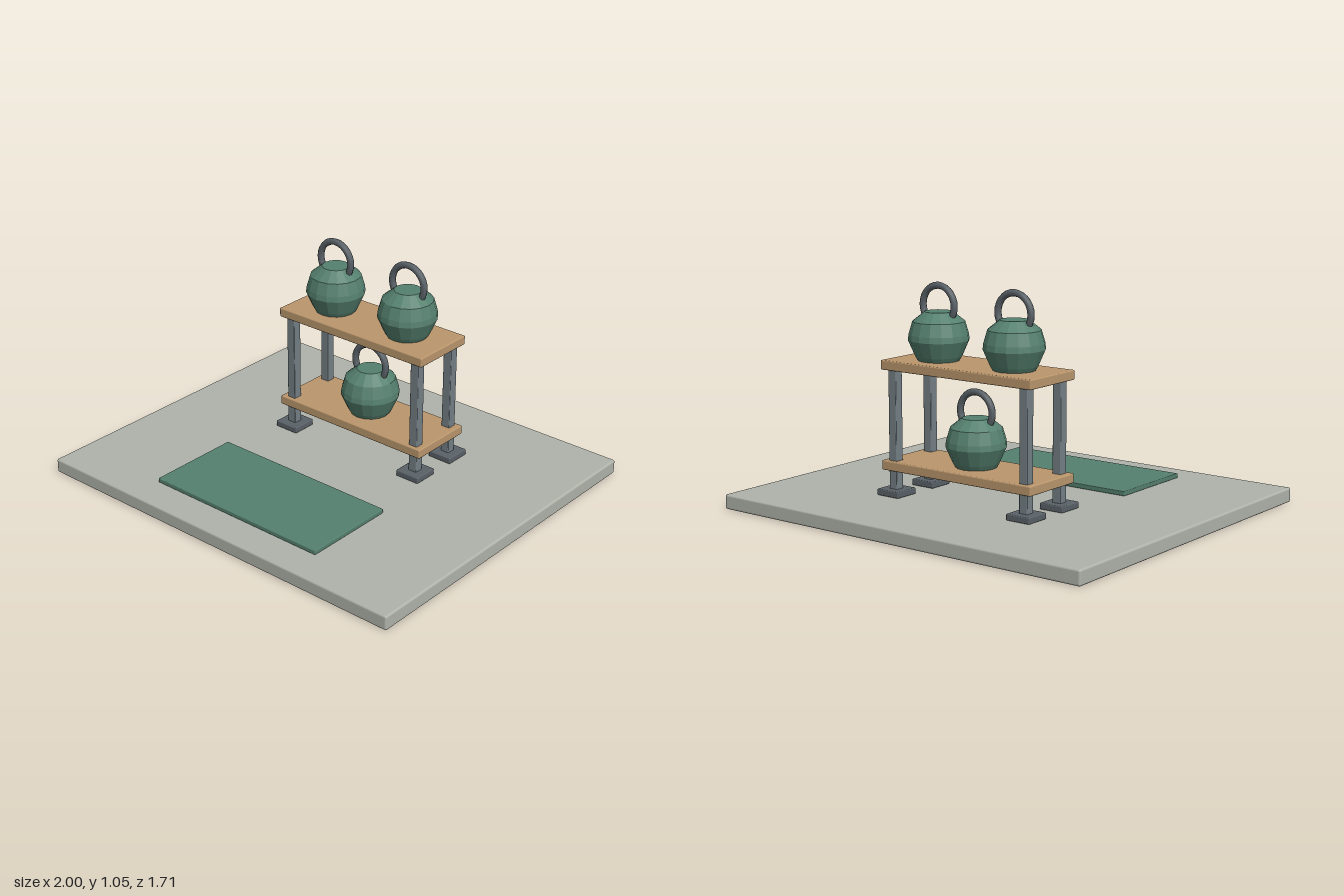
import * as THREE from 'three';
import { RoundedBoxGeometry } from 'three/addons/geometries/RoundedBoxGeometry.js';

const mat = (color, flatShading = false) => new THREE.MeshStandardMaterial({ color, flatShading });
const stone = mat(0xb0b3aa);
const wood = mat(0xba966c);
const steel = mat(0x737f85);
const darkSteel = mat(0x596167);
const green = mat(0x55806f);
const greenFaceted = mat(0x55806f, true);

// Box with softened edges, placed by its centre in x and z and its bottom in y
function slab(name, w, h, d, x, y, z, material, bevel = 0.006) {
  const mesh = new THREE.Mesh(new RoundedBoxGeometry(w, h, d, 2, bevel), material);
  mesh.name = name;
  mesh.position.set(x, y + h / 2, z);
  return mesh;
}

// Faceted round weight with a ring handle, standing on y = 0
function createKettlebell() {
  const bell = new THREE.Group();
  bell.name = 'kettlebell';
  const profile = [
    [0, 0], [0.095, 0], [0.108, 0.022], [0.14, 0.095],
    [0.137, 0.122], [0.12, 0.18], [0.065, 0.224], [0, 0.224],
  ].map(([r, y]) => new THREE.Vector2(r, y));
  const body = new THREE.Mesh(new THREE.LatheGeometry(profile, 16), greenFaceted);
  body.name = 'kettlebellBody';
  const handle = new THREE.Mesh(new THREE.TorusGeometry(0.091, 0.016, 8, 28), darkSteel);
  handle.name = 'kettlebellHandle';
  handle.position.y = 0.251;
  bell.add(body, handle);
  return bell;
}

export function createModel() {
  const model = new THREE.Group();
  model.name = 'weightRackStation';
  const rackZ = -0.25;

  // Floor and exercise mat
  model.add(slab('floor', 2, 0.07, 1.706, 0, 0, 0, stone, 0.01));
  model.add(slab('exerciseMat', 0.956, 0.022, 0.46, 0, 0.07, 0.463, green, 0.004));

  // Rack: two shelves on four footed posts
  const rack = new THREE.Group();
  rack.name = 'rack';
  for (const y of [0.187, 0.652]) {
    rack.add(slab('shelf', 0.85, 0.045, 0.325, 0, y, rackZ, wood));
  }
  for (const sx of [-1, 1]) {
    for (const sz of [-1, 1]) {
      const x = sx * 0.373;
      const z = rackZ + sz * 0.122;
      rack.add(slab('post', 0.045, 0.585, 0.045, x, 0.07, z, steel, 0.004));
      rack.add(slab('foot', 0.126, 0.03, 0.126, x, 0.07, z, darkSteel, 0.005));
    }
  }
  model.add(rack);

  // Two kettlebells on the upper shelf, one on the lower
  for (const [x, y] of [[-0.215, 0.695], [0.215, 0.695], [0, 0.232]]) {
    const bell = createKettlebell();
    bell.position.set(x, y, rackZ);
    model.add(bell);
  }
  return model;
}
